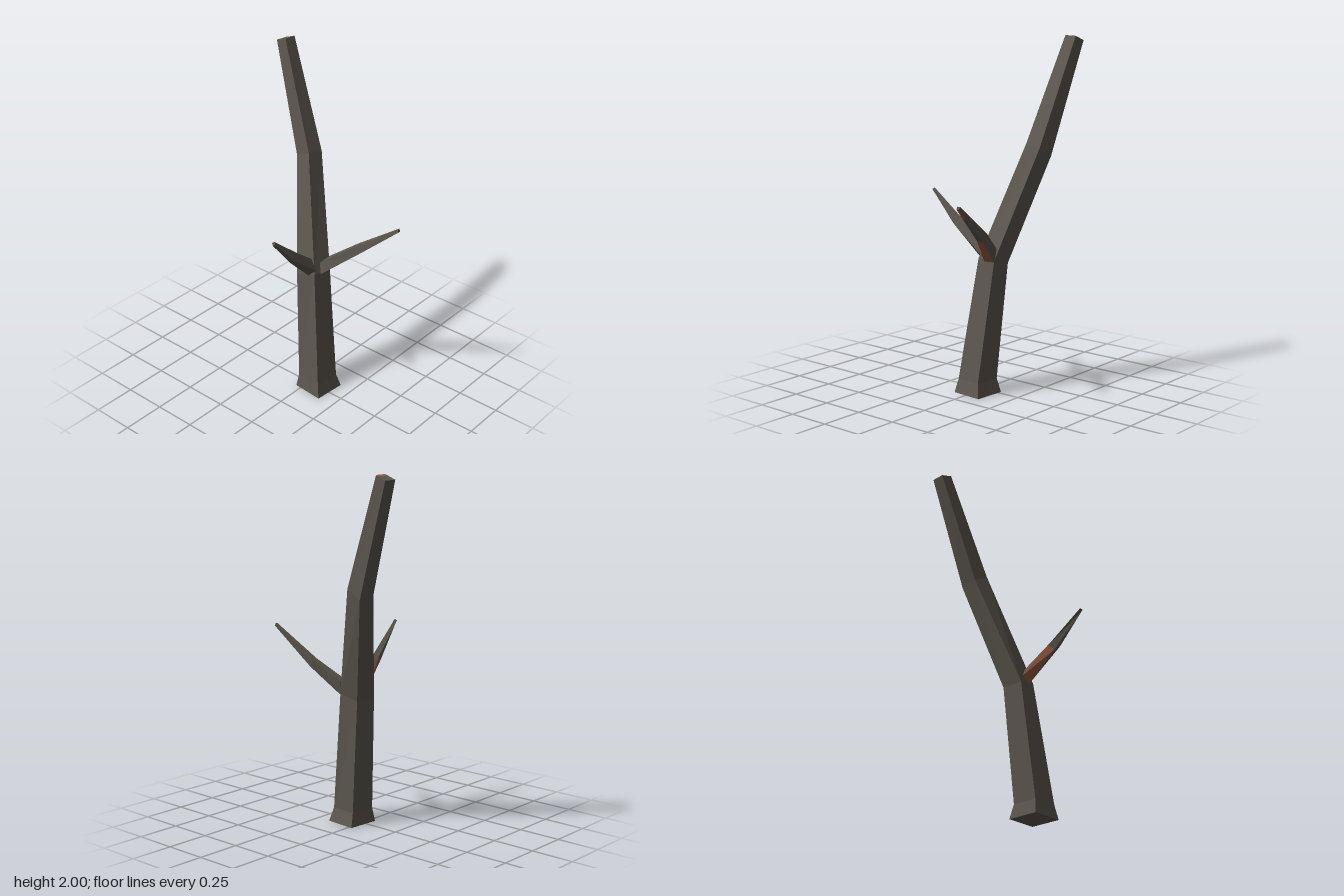
import * as THREE from 'three';

const bark = new THREE.MeshStandardMaterial({ color: 0x5c574f });
bark.name = 'greyBark';
const wood = new THREE.MeshStandardMaterial({ color: 0x9e5c42 });
wood.name = 'rustyWood';

const lerp = (a, b, t) => a.map((v, i) => v + (b[i] - v) * t);

// Faceted limb through four-cornered rings (counterclockwise seen from the tip).
// isWood(segment, side) picks the second material for a face.
function limb(name, rings, isWood = () => false) {
  const faces = [[], []];
  const quad = (a, b, c, d, m) => faces[m].push(...a, ...b, ...c, ...a, ...c, ...d);
  for (let s = 0; s < rings.length - 1; s++) {
    const lo = rings[s], hi = rings[s + 1];
    for (let i = 0; i < 4; i++) {
      const j = (i + 1) % 4;
      quad(lo[i], lo[j], hi[j], hi[i], isWood(s, i) ? 1 : 0);
    }
  }
  const first = rings[0], last = rings[rings.length - 1];
  quad(first[3], first[2], first[1], first[0], 0);
  quad(last[0], last[1], last[2], last[3], 0);

  const geo = new THREE.BufferGeometry();
  geo.setAttribute('position', new THREE.Float32BufferAttribute(faces.flat(), 3));
  geo.addGroup(0, faces[0].length / 3, 0);
  if (faces[1].length) geo.addGroup(faces[0].length / 3, faces[1].length / 3, 1);
  geo.computeVertexNormals();
  const mesh = new THREE.Mesh(geo, [bark, wood]);
  mesh.name = name;
  return mesh;
}

export function createModel() {
  const tree = new THREE.Group();
  tree.name = 'bareTree';

  // Trunk: flared foot, fork, bend, top (front left, front right, back right, back left)
  const top = [[-0.465, 1.975, -0.27], [-0.395, 2.0, -0.264], [-0.393, 1.997, -0.336], [-0.46, 1.972, -0.342]];
  tree.add(limb('trunk', [
    [[-0.035, 0, 0.073], [0.15, 0, 0.087], [0.165, 0, -0.1], [-0.02, 0, -0.113]],
    [[-0.022, 0.08, 0.062], [0.132, 0.08, 0.072], [0.144, 0.08, -0.08], [-0.01, 0.08, -0.09]],
    [[-0.08, 0.74, 0.01], [0.042, 0.77, 0], [0.053, 0.77, -0.122], [-0.07, 0.74, -0.12]],
    [[-0.25, 1.36, -0.19], [-0.155, 1.41, -0.18], [-0.145, 1.39, -0.28], [-0.24, 1.34, -0.288]],
    top,
  ]));

  // Exposed wood on the cut top
  const onTop = (u, v) => {
    const p = lerp(lerp(top[0], top[1], u), lerp(top[3], top[2], u), v);
    return [p[0] - 0.0006, p[1] + 0.0015, p[2]];
  };
  const rim = [[1, 0], [1, 1], [0.78, 0.8], [0.65, 0.5], [0.78, 0.2]].map(([u, v]) => onTop(u, v));
  const patch = [];
  for (let i = 1; i < rim.length - 1; i++) patch.push(...rim[0], ...rim[i], ...rim[i + 1]);
  const patchGeo = new THREE.BufferGeometry();
  patchGeo.setAttribute('position', new THREE.Float32BufferAttribute(patch, 3));
  patchGeo.computeVertexNormals();
  const cut = new THREE.Mesh(patchGeo, wood);
  cut.name = 'cutTopWood';
  tree.add(cut);

  // Left branch: lower front, lower back, upper back, upper front
  const mid = [[0.235, 0.915, -0.15], [0.225, 0.91, -0.185], [0.2, 0.955, -0.19], [0.21, 0.955, -0.15]];
  const tip = [[0.465, 1.12, -0.205], [0.465, 1.12, -0.222], [0.457, 1.135, -0.225], [0.46, 1.135, -0.208]];
  tree.add(limb('leftBranch', [
    [[0.045, 0.755, -0.045], [0.045, 0.755, -0.118], [0.045, 0.84, -0.132], [0.03, 0.82, -0.06]],
    mid,
    mid.map((p, i) => lerp(p, tip[i], 0.7)),
    tip,
  ], (s, side) => side === 0 && s !== 1));

  // Front branch: left, bottom, right and upper ridges
  tree.add(limb('frontBranch', [
    [[-0.045, 0.79, -0.01], [0, 0.75, 0], [0.045, 0.79, -0.02], [0, 0.85, -0.025]],
    [[-0.004, 0.95, 0.14], [0.012, 0.92, 0.17], [0.05, 0.95, 0.18], [0.022, 0.98, 0.14]],
    [[0.028, 1.13, 0.335], [0.04, 1.118, 0.34], [0.052, 1.13, 0.335], [0.04, 1.138, 0.328]],
  ], (s, side) => side === 0 && s === 0));

  return tree;
}
